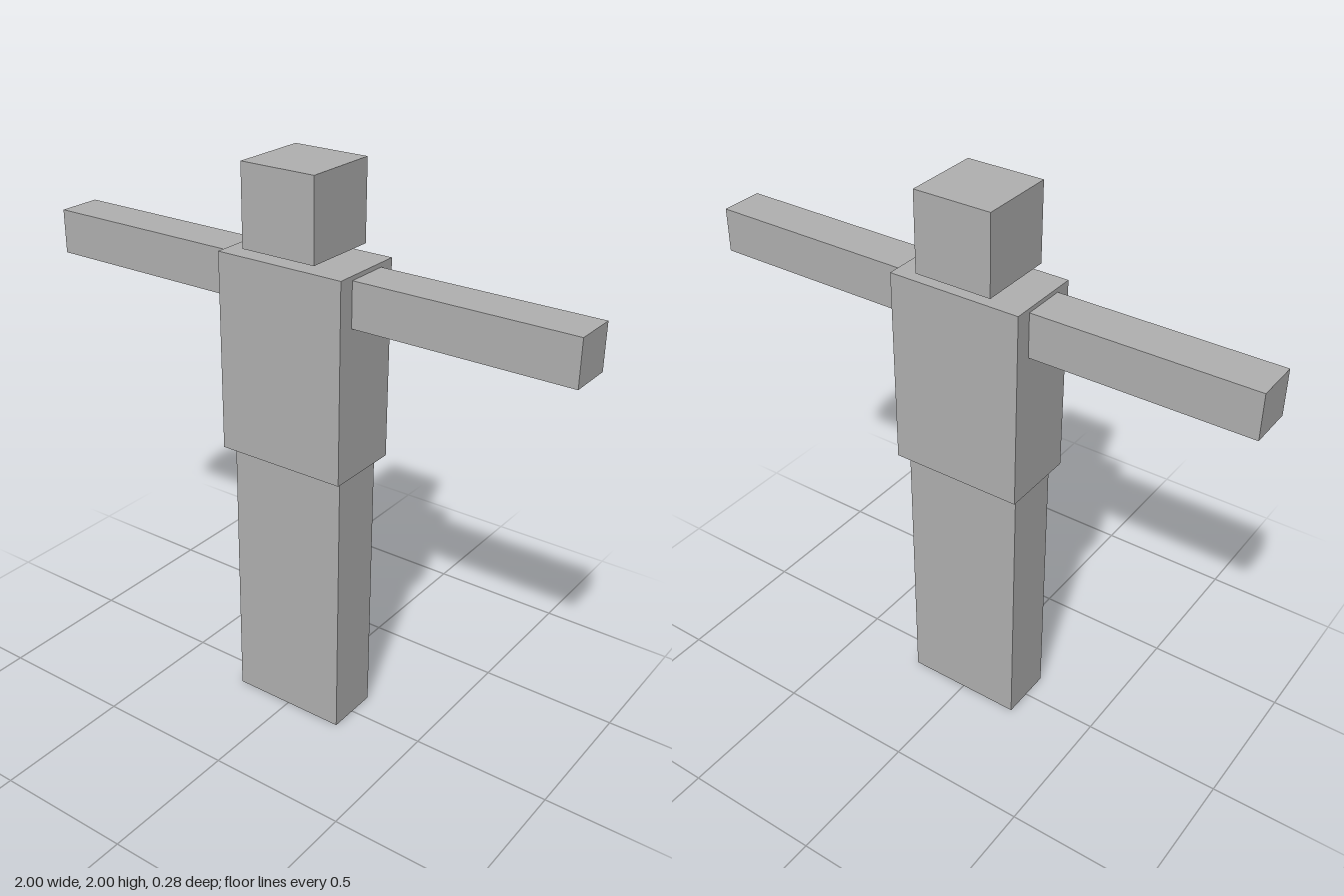
import * as THREE from 'three';

export function createModel() {
  const model = new THREE.Group();
  model.name = 'blockFigure';
  const grey = new THREE.MeshStandardMaterial({ name: 'plain grey', color: 0xb0b0b0 });

  // Box given by its size, centre x and bottom height
  function block(name, width, height, depth, x, bottom) {
    const mesh = new THREE.Mesh(new THREE.BoxGeometry(width, height, depth), grey);
    mesh.name = name;
    mesh.position.set(x, bottom + height / 2, 0);
    model.add(mesh);
  }

  // Legs as one solid block, with the wider torso on top
  block('legs', 0.434, 1, 0.2, 0, 0);
  block('torso', 0.477, 0.696, 0.277, 0, 1);

  // Head floats just above the torso
  block('head', 0.277, 0.277, 0.277, 0, 1.723);

  // Outstretched arms
  for (const [name, side] of [['leftArm', 1], ['rightArm', -1]]) {
    block(name, 0.762, 0.156, 0.156, side * 0.619, 1.525);
  }
  return model;
}
